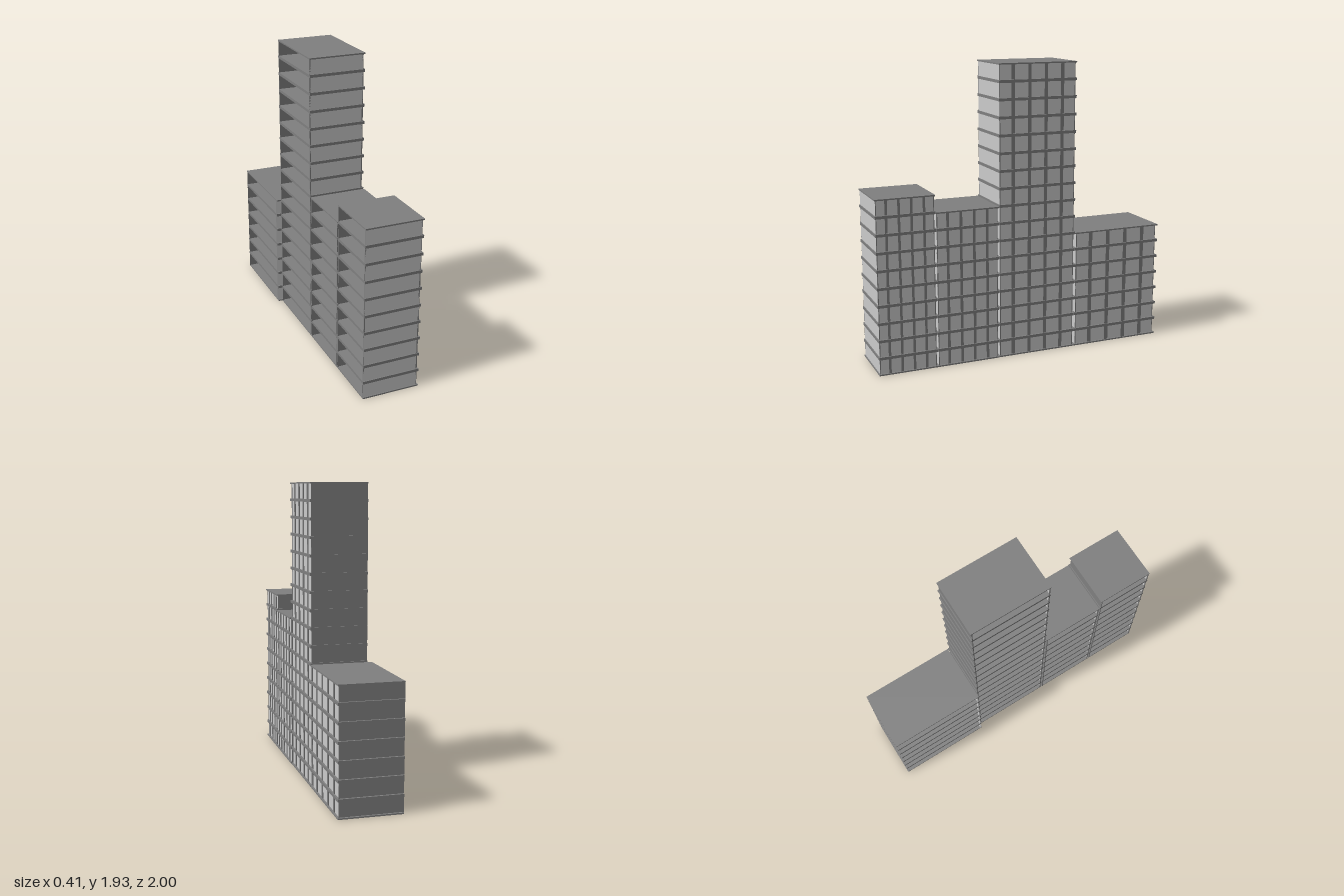
import * as THREE from 'three';

const FLOOR = 0.1135;   // storey height
const PLATE = 0.009;    // floor and ceiling plate thickness
const glass = new THREE.MeshStandardMaterial({ color: 0xcccccc, side: THREE.DoubleSide });
const concrete = new THREE.MeshStandardMaterial({ color: 0x808080, side: THREE.DoubleSide });

// Box given by its min and max corners
function box(name, [x0, y0, z0], [x1, y1, z1]) {
  const mesh = new THREE.Mesh(new THREE.BoxGeometry(x1 - x0, y1 - y0, z1 - z0), concrete);
  mesh.position.set((x0 + x1) / 2, (y0 + y1) / 2, (z0 + z1) / 2);
  mesh.name = name;
  return mesh;
}

// Thin wall sheet turned about y
function sheet(name, material, width, height, turn, x, y, z) {
  const mesh = new THREE.Mesh(new THREE.PlaneGeometry(width, height), material);
  mesh.rotation.y = turn;
  mesh.position.set(x, y, z);
  mesh.name = name;
  return mesh;
}

function createBlock({ name, floors, x0, x1, z0, z1, inset, wallX0, posts }) {
  const block = new THREE.Group();
  block.name = name;
  const wz0 = z0 + inset, wz1 = z1 - inset, wx1 = x1 - 0.012;
  const depth = wz1 - wz0, top = floors * FLOOR;

  // Plates: a floor and a ceiling meet at every level between storeys
  for (let i = 0; i <= floors; i++) {
    const y = i * FLOOR;
    block.add(box('floorPlate', [x0, Math.max(0, y - PLATE), z0], [x1, Math.min(top, y + PLATE), z1]));
  }

  // Storey walls on three sides; the -x side is open
  for (let i = 0; i < floors; i++) {
    const y = (i + 0.5) * FLOOR, h = FLOOR - 2 * PLATE;
    const midX = (wallX0 + wx1) / 2, w = wx1 - wallX0;
    block.add(
      sheet('windowWall', glass, depth, h, Math.PI / 2, wx1, y, (wz0 + wz1) / 2),
      sheet('frontWall', glass, w, h, 0, midX, y, wz1),
      sheet('backWall', concrete, w, h, Math.PI, midX, y, wz0));
  }

  // Four mullions split the window wall into bays, the end bays a little narrower
  const bay = depth / 4.62, half = bay * 0.1;
  for (let i = 0; i < 4; i++) {
    const z = wz0 + bay * (0.81 + i);
    block.add(box('mullion', [wx1 - 0.005, 0, z - half], [wx1 + 0.005, top - 0.001, z + half]));
  }

  // Slim posts at the window wall ends and the open corners
  for (const z of [wz0, wz1 - 0.005]) {
    block.add(box('cornerPost', [wx1 - 0.005, 0, z], [wx1 + 0.003, top - 0.001, z + 0.005]));
    if (posts) block.add(box('cornerPost', [x0, 0, z], [x0 + 0.007, top - 0.001, z + 0.005]));
  }
  return block;
}

export function createModel() {
  const model = new THREE.Group();
  model.name = 'apartmentBuilding';
  const slim = { x0: -0.175, x1: 0.203, wallX0: -0.174, inset: 0.006, posts: true };
  model.add(
    createBlock({ ...slim, name: 'frontBlock', floors: 10, z0: 0.613, z1: 1 }),
    createBlock({ ...slim, name: 'middleBlock', floors: 9, z0: 0.187, z1: 0.61 }),
    createBlock({ ...slim, name: 'tower', floors: 17, x1: 0.2, z0: -0.36, z1: 0.182 }),
    createBlock({ name: 'rearBlock', floors: 7, x0: -0.204, x1: 0.2, z0: -1, z1: -0.363,
      wallX0: -0.207, inset: 0.013, posts: false }));
  return model;
}
